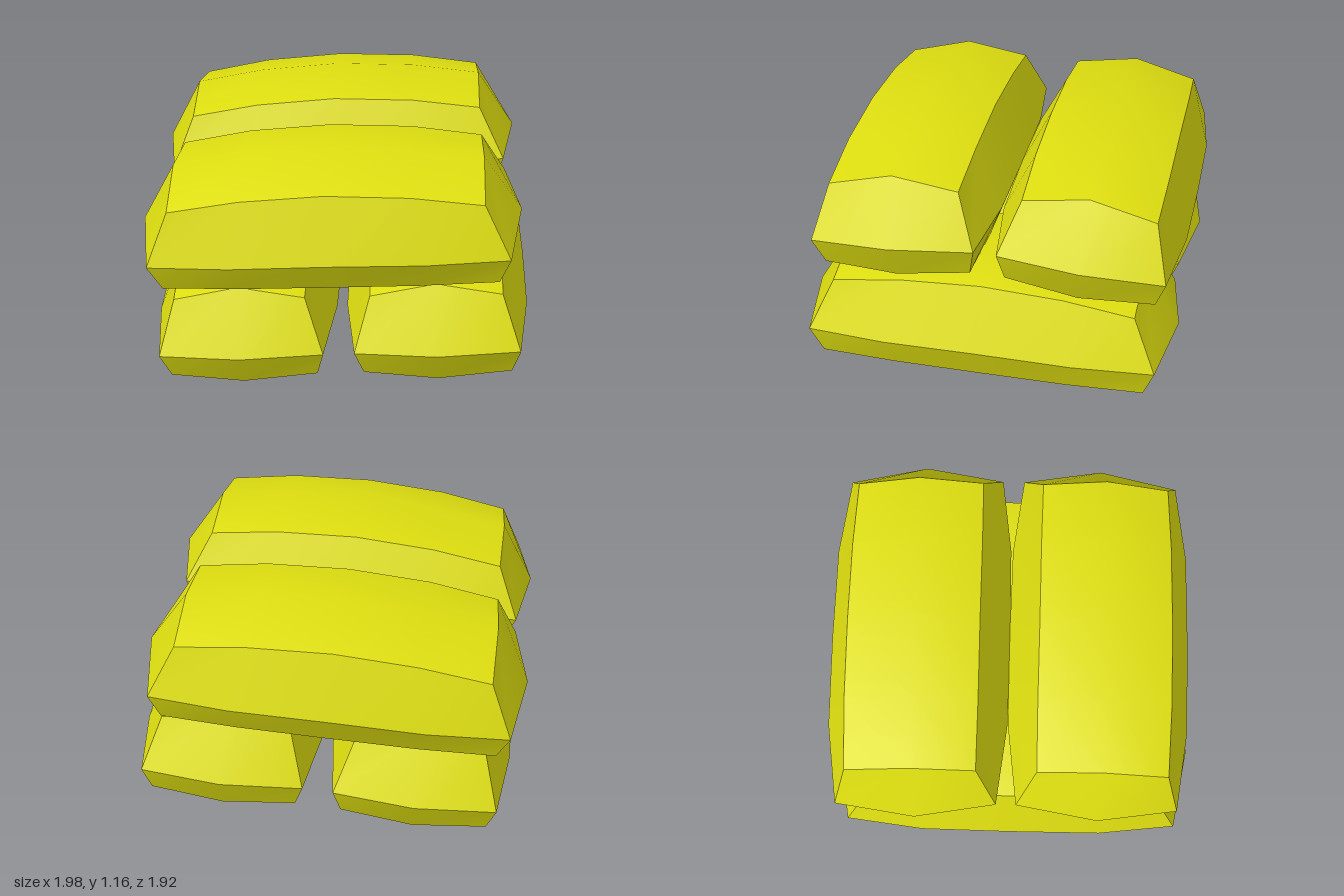
import * as THREE from 'three';
import { mergeGeometries } from 'three/addons/utils/BufferGeometryUtils.js';

// Outline levels of one sack: half length/width, outward bow of its edges,
// corner height and how far the middle rises along (u) and across (v).
const LEVELS = {
  bottom: { hl: 0.835, bowL: 0.025, hw: 0.375, bowW: 0.02, y: 0, riseU: 0, riseV: -0.025 },
  middle: { hl: 0.89, bowL: 0.07, hw: 0.415, bowW: 0.057, y: 0.155, riseU: 0.025, riseV: 0.025 },
  top: { hl: 0.77, bowL: 0.005, hw: 0.33, bowW: 0.008, y: 0.42, riseU: 0.08, riseV: 0.07 },
};
const U = [-1, -0.54, 0, 0.54, 1];
const V = [-1, 0, 1];

function pointOn(level, u, v) {
  const l = LEVELS[level];
  return [
    u * (l.hl + l.bowL * (1 - v * v)),
    l.y + l.riseU * (1 - u * u) + l.riseV * (1 - v * v),
    v * (l.hw + l.bowW * (1 - u ** 4)),
  ];
}

// Smooth patch from rows of points, each running left to right, bottom row first
function patch(rows) {
  const n = rows[0].length;
  const index = [];
  for (let j = 0; j < rows.length - 1; j++) {
    for (let i = 0; i < n - 1; i++) {
      const a = j * n + i;
      index.push(a, a + 1, a + n + 1, a, a + n + 1, a + n);
    }
  }
  const geometry = new THREE.BufferGeometry();
  geometry.setAttribute('position', new THREE.Float32BufferAttribute(rows.flat(2), 3));
  geometry.setIndex(index);
  geometry.computeVertexNormals();
  return geometry;
}

// Sack along x: separate patches keep the seams between them sharp
function sackGeometry() {
  const backU = [...U].reverse();
  const backV = [...V].reverse();
  const patches = [
    patch(backV.map((v) => U.map((u) => pointOn('top', u, v)))),
    patch(V.map((v) => U.map((u) => pointOn('bottom', u, v)))),
  ];
  for (const band of [['bottom', 'middle'], ['middle', 'top']]) {
    patches.push(
      patch(band.map((l) => U.map((u) => pointOn(l, u, 1)))),
      patch(band.map((l) => backU.map((u) => pointOn(l, u, -1)))),
      patch(band.map((l) => backV.map((v) => pointOn(l, 1, v)))),
      patch(band.map((l) => V.map((v) => pointOn(l, -1, v)))),
    );
  }
  return mergeGeometries(patches);
}

export function createModel() {
  const model = new THREE.Group();
  model.name = 'sackStack';
  const yellow = new THREE.MeshStandardMaterial({ color: 0xdede10 });
  yellow.name = 'yellow';

  const acrossX = sackGeometry();
  const alongZ = acrossX.clone().rotateY(Math.PI / 2);

  // Two lower sacks run front to back, two upper ones lie across them, all slightly tilted
  const sacks = [
    ['lowerRightSack', alongZ, [-0.467, 0.028, 0], [0.012, 0, 0.05]],
    ['lowerLeftSack', alongZ, [0.518, 0.082, 0], [0.012, 0, 0.05]],
    ['upperFrontSack', acrossX, [-0.03, 0.582, 0.437], [0.065, 0, 0.058]],
    ['upperBackSack', acrossX, [-0.03, 0.585, -0.481], [-0.055, 0, 0.058]],
  ];
  for (const [name, geometry, position, tilt] of sacks) {
    const sack = new THREE.Mesh(geometry, yellow);
    sack.name = name;
    sack.position.set(...position);
    sack.rotation.set(...tilt);
    model.add(sack);
  }
  return model;
}
